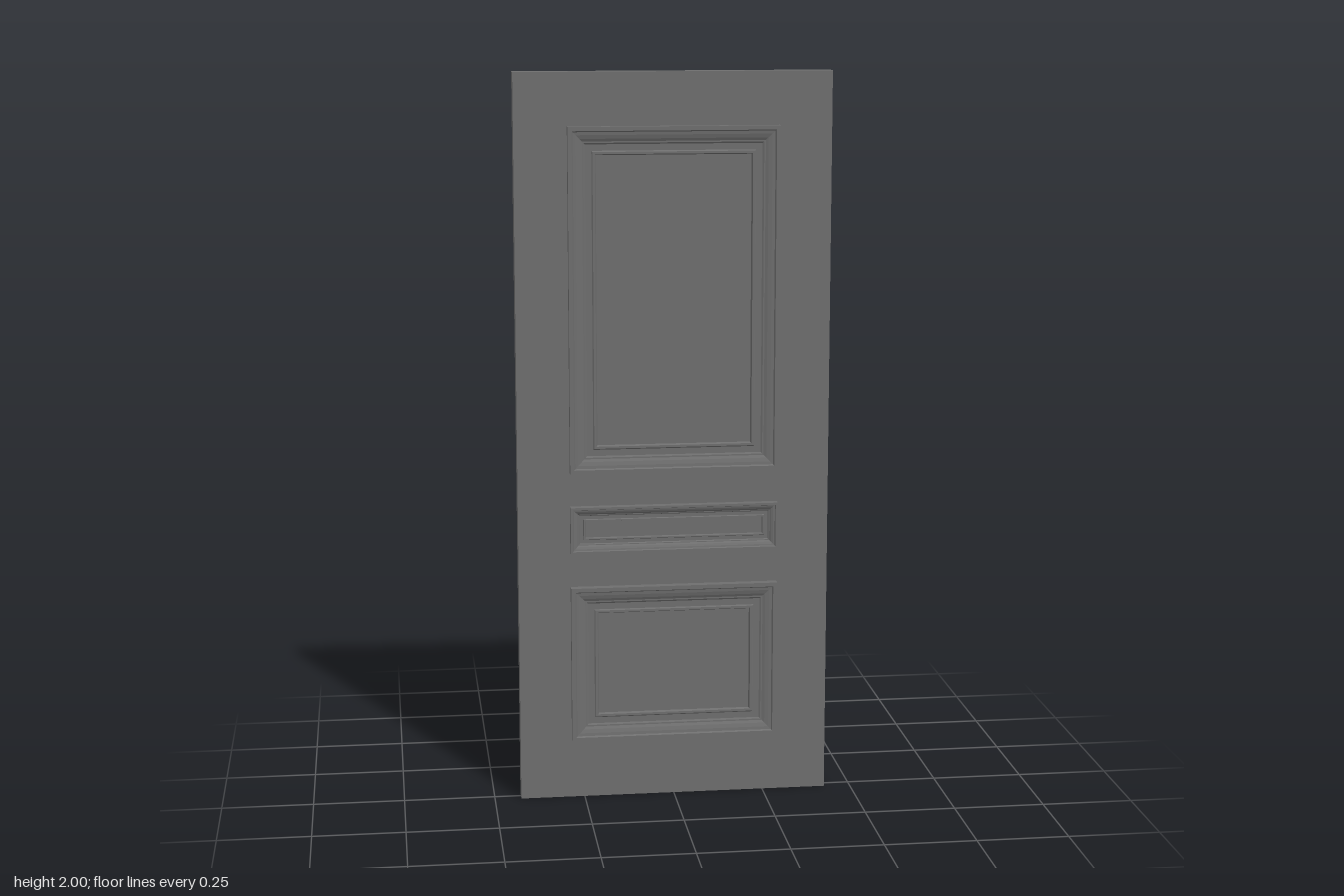
import * as THREE from 'three';

const material = new THREE.MeshStandardMaterial({ color: 0x6e6e6e, flatShading: true });
const HALF_DEPTH = 0.0245;

// Moulding section: [inset from the outer edge, height z]
const section = [
  [0, HALF_DEPTH], [0, 0.047], [0.011, 0.047], [0.014, 0.042], [0.022, 0.041],
  [0.032, 0.038], [0.039, 0.034], [0.043, 0.034], [0.047, 0.031], [0.064, 0.031],
  [0.067, 0.034], [0.073, 0.034], [0.076, 0.027], [0.08, 0.027],
];

// Rectangular moulding with mitred corners around a flat field
function panelGeometry(halfW, y0, y1, scale) {
  const corners = (inset, z) => [
    [-halfW + inset, y0 + inset, z], [halfW - inset, y0 + inset, z],
    [halfW - inset, y1 - inset, z], [-halfW + inset, y1 - inset, z],
  ];
  const rings = section.map(([inset, z]) => corners(inset * scale, z));
  const positions = [];
  const quad = (a, b, c, d) => positions.push(...a, ...b, ...c, ...a, ...c, ...d);
  for (let i = 0; i < rings.length - 1; i++) {
    for (let k = 0; k < 4; k++) {
      const n = (k + 1) % 4;
      quad(rings[i][k], rings[i][n], rings[i + 1][n], rings[i + 1][k]);
    }
  }
  quad(...rings[rings.length - 1]);
  const geometry = new THREE.BufferGeometry();
  geometry.setAttribute('position', new THREE.Float32BufferAttribute(positions, 3));
  geometry.computeVertexNormals();
  return geometry;
}

export function createModel() {
  const door = new THREE.Group();
  door.name = 'door';

  // Plain slab
  const slab = new THREE.Mesh(new THREE.BoxGeometry(0.854, 2, HALF_DEPTH * 2), material);
  slab.name = 'slab';
  slab.position.y = 1;
  door.add(slab);

  // Three moulded panels, repeated on both faces
  const panels = [
    ['upperPanel', 0.922, 1.857, 1],
    ['middlePanel', 0.7, 0.829, 0.55],
    ['lowerPanel', 0.166, 0.603, 1],
  ];
  for (const [name, y0, y1, scale] of panels) {
    const geometry = panelGeometry(0.285, y0, y1, scale);
    for (const side of ['Front', 'Back']) {
      const panel = new THREE.Mesh(geometry, material);
      panel.name = name + side;
      if (side === 'Back') panel.rotation.y = Math.PI;
      door.add(panel);
    }
  }
  return door;
}
